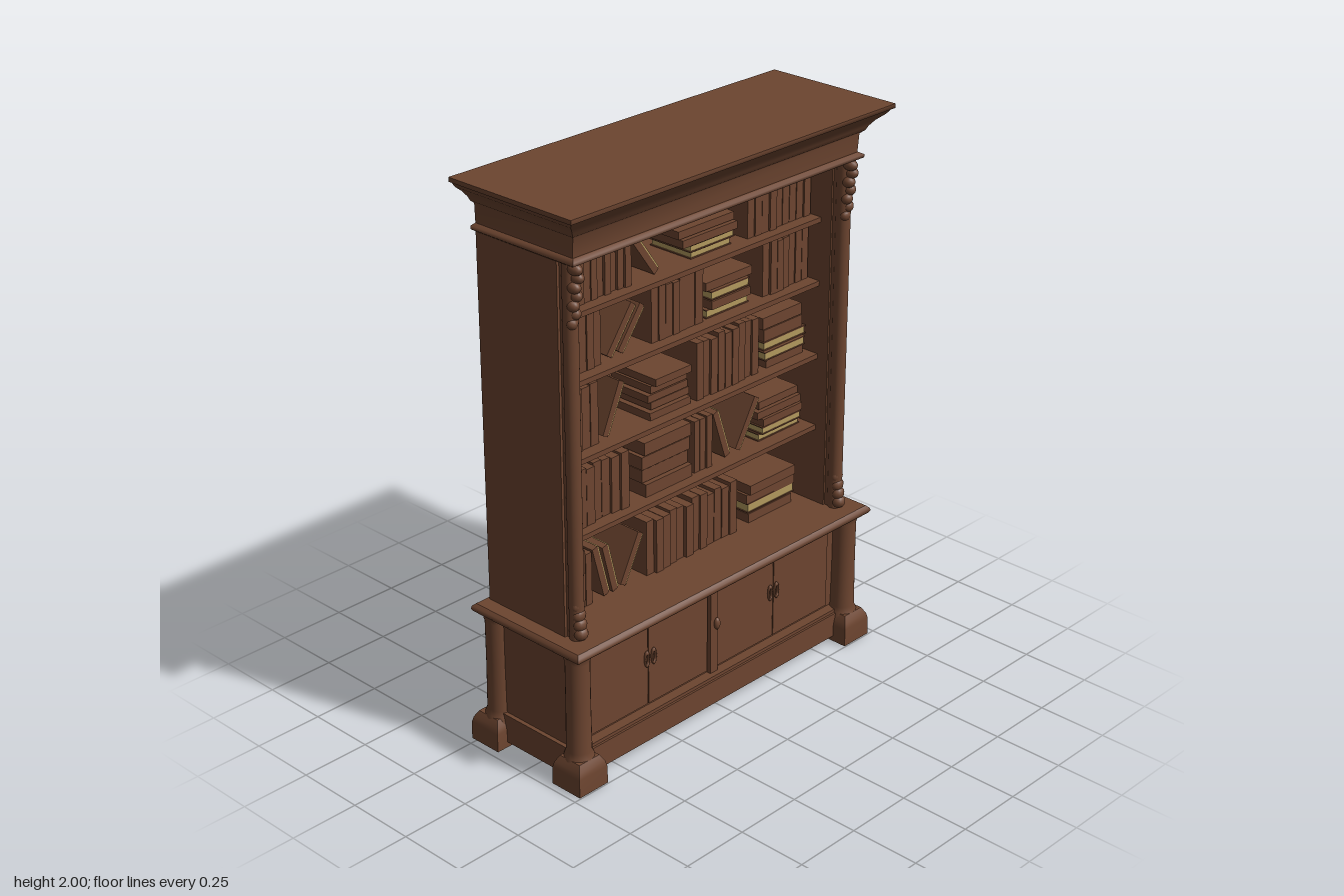
import * as THREE from 'three';
import { mergeGeometries } from 'three/addons/utils/BufferGeometryUtils.js';

const wood = new THREE.MeshStandardMaterial({ color: 0x6d4530 });
wood.name = 'brown wood';
const pages = new THREE.MeshStandardMaterial({ color: 0xb39a5e });
pages.name = 'old paper';

function add(parent, name, geometry, material = wood) {
  const mesh = new THREE.Mesh(geometry, material);
  mesh.name = name;
  parent.add(mesh);
  return mesh;
}

// Box given by its limits on each axis
function box(parent, name, x0, x1, y0, y1, z0, z1, material = wood) {
  const g = new THREE.BoxGeometry(x1 - x0, y1 - y0, z1 - z0);
  g.translate((x0 + x1) / 2, (y0 + y1) / 2, (z0 + z1) / 2);
  return add(parent, name, g, material);
}

// Rectangular moulding: rows of [y, halfWidth, zBack, zFront], mitred corners, capped ends
function moulding(rows) {
  const corners = ([y, w, b, f]) => [[-w, y, f], [w, y, f], [w, y, b], [-w, y, b]];
  const rings = rows.map(corners);
  const strip = (points, index) => {
    const g = new THREE.BufferGeometry();
    g.setAttribute('position', new THREE.Float32BufferAttribute(points.flat(), 3));
    g.setIndex(index);
    g.computeVertexNormals();
    return g;
  };
  const parts = [];
  for (let s = 0; s < 4; s++) {
    const points = [], index = [];
    rings.forEach((ring, i) => {
      points.push(ring[s], ring[(s + 1) % 4]);
      const a = i * 2;
      if (i < rings.length - 1) index.push(a, a + 1, a + 3, a, a + 3, a + 2);
    });
    parts.push(strip(points, index));
  }
  parts.push(strip(rings[rings.length - 1], [0, 1, 2, 0, 2, 3]));
  parts.push(strip(rings[0], [0, 2, 1, 0, 3, 2]));
  return mergeGeometries(parts);
}

let seed = 7;
const rand = () => (seed = (seed * 16807) % 2147483647) / 2147483647;

// Upright books filling a span
function uprights(g, y, x0, x1, n, h) {
  const w = (x1 - x0) / n;
  for (let i = 0; i < n; i++) {
    const x = x0 + i * w, top = y + h * (0.9 + 0.1 * rand());
    box(g, 'uprightBook', x + 0.001, x + w - 0.002, y, top, -0.17, 0.025 + 0.015 * rand());
  }
}

// Lying books; pattern letters from the bottom up: b = spine forward, p = pages forward
function stack(g, y, x0, x1, h, pattern) {
  const t = h / pattern.length;
  [...pattern].forEach((kind, i) => {
    const a = x0 + 0.025 * rand(), b = x1 - 0.025 * rand(), y0 = y + i * t, front = 0.02 + 0.02 * rand();
    if (kind === 'b') {
      box(g, 'lyingBook', a, b, y0, y0 + t - 0.003, -0.16, front);
    } else {
      box(g, 'bottomCover', a, b, y0, y0 + 0.004, -0.16, front);
      box(g, 'pageBlock', a + 0.004, b - 0.004, y0 + 0.004, y0 + t - 0.006, -0.155, front - 0.003, pages);
      box(g, 'topCover', a, b, y0 + t - 0.006, y0 + t - 0.002, -0.16, front);
    }
  });
}

// Leaning book with its pages on the +x face; xb and xt are the foot and head positions
function leaning(g, y, xb, xt, h) {
  const book = new THREE.Group();
  book.name = 'leaningBook';
  const len = Math.hypot(xt - xb, h);
  box(book, 'cover', -0.016, 0.008, 0, len, -0.17, 0.03);
  box(book, 'openPages', 0.008, 0.014, 0.004, len - 0.004, -0.165, 0.028, pages);
  book.position.set(xb, y + 0.012, 0);
  book.rotation.z = Math.atan2(xb - xt, h);
  g.add(book);
}

export function createModel() {
  const model = new THREE.Group();
  model.name = 'bookcase';

  // Crown and its lower bead
  add(model, 'crown', moulding([
    [1.83, 0.65, -0.24, 0.185], [1.9, 0.652, -0.24, 0.19], [1.91, 0.665, -0.243, 0.203],
    [1.925, 0.673, -0.246, 0.21], [1.945, 0.69, -0.25, 0.225], [1.965, 0.715, -0.254, 0.248],
    [1.98, 0.725, -0.256, 0.26], [1.985, 0.735, -0.258, 0.27], [2, 0.735, -0.258, 0.27]]));
  add(model, 'crownBead', moulding([
    [1.81, 0.655, -0.24, 0.19], [1.817, 0.665, -0.246, 0.203],
    [1.828, 0.665, -0.246, 0.203], [1.835, 0.652, -0.24, 0.19]]));

  // Upper case
  box(model, 'backPanel', -0.61, 0.61, 0.52, 1.815, -0.235, -0.215);
  for (const y of [0.82, 1.09, 1.36, 1.59]) box(model, 'shelf', -0.61, 0.61, y - 0.018, y, -0.215, 0.075);
  // Book ends that show through the back
  for (const [x, y] of [[0.05, 1.36], [-0.27, 1.1]]) box(model, 'bookThroughBack', x - 0.02, x + 0.02, y, y + 0.21, -0.241, -0.2);

  // Base: floor, panels, plinth and top
  box(model, 'baseFloor', -0.65, 0.65, 0.1, 0.12, -0.21, 0.14);
  box(model, 'baseBack', -0.66, 0.66, 0.02, 0.49, -0.225, -0.205);
  box(model, 'doorBacking', -0.65, 0.65, 0.11, 0.49, 0.13, 0.145);
  box(model, 'plinthFront', -0.64, 0.64, 0.02, 0.11, 0.14, 0.19);
  box(model, 'plinthCap', -0.62, 0.62, 0.11, 0.122, 0.14, 0.182);
  box(model, 'topRail', -0.62, 0.62, 0.482, 0.495, 0.14, 0.172);
  box(model, 'centreStile', -0.018, 0.018, 0.122, 0.485, 0.14, 0.162);
  add(model, 'baseTop', moulding([
    [0.485, 0.695, -0.24, 0.22], [0.493, 0.712, -0.253, 0.238], [0.503, 0.718, -0.258, 0.244],
    [0.513, 0.715, -0.256, 0.241], [0.522, 0.705, -0.246, 0.231]]));

  // Doors and their oval pulls
  for (const s of [-1, 1]) {
    for (const c of [0.166, 0.454]) {
      box(model, 'door', s * c - 0.142, s * c + 0.142, 0.132, 0.48, 0.14, 0.152);
    }
    for (const dx of [-0.016, 0.016]) {
      const pull = add(model, 'doorPull', new THREE.TorusGeometry(0.01, 0.0035, 8, 20));
      pull.scale.set(0.85, 2.4, 1.6);
      pull.position.set(s * 0.305 + dx, 0.31, 0.157);
    }
  }
  const knob = add(model, 'centreKnob', new THREE.SphereGeometry(0.014, 16, 10));
  knob.scale.set(0.9, 1.6, 0.8);
  knob.position.set(0.01, 0.31, 0.165);

  // Base post turned profile, shared by the four corners
  const post = new THREE.LatheGeometry([
    [0.055, 0.09], [0.05, 0.112], [0.043, 0.13], [0.041, 0.3], [0.041, 0.46], [0.045, 0.475], [0.047, 0.49],
  ].map(([r, y]) => new THREE.Vector2(r, y)), 24);
  const foot = moulding([
    [0, 0.064, -0.064, 0.064], [0.065, 0.063, -0.063, 0.063], [0.085, 0.058, -0.058, 0.058], [0.108, 0.045, -0.045, 0.045]]);

  for (const s of [-1, 1]) {
    const side = (name, x0, x1, ...r) => box(model, name, Math.min(s * x0, s * x1), Math.max(s * x0, s * x1), ...r);
    side('caseSide', 0.605, 0.655, 0.52, 1.815, -0.235, 0.12);
    side('pilasterBacking', 0.612, 0.645, 0.52, 1.815, 0.12, 0.15);
    side('baseSide', 0.64, 0.665, 0.12, 0.49, -0.205, 0.165);
    side('sidePlinth', 0.64, 0.68, 0.02, 0.125, -0.2, 0.17);

    for (const z of [0.182, -0.2]) {
      add(model, 'cornerPost', post).position.set(s * 0.657, 0, z - (z > 0 ? 0.005 : 0));
      add(model, 'cornerFoot', foot).position.set(s * 0.66, 0, z < 0 ? z - 0.008 : z);
    }

    // Slim front column with carved head and base
    const column = new THREE.Group();
    column.name = 'frontColumn';
    column.position.set(s * 0.63, 0, 0.15);
    model.add(column);
    add(column, 'shaft', new THREE.CylinderGeometry(0.025, 0.025, 1.29, 20)).position.y = 1.165;
    for (let i = 0; i < 7; i++) {
      const leaf = add(column, 'carvedLeaf', new THREE.SphereGeometry(0.022, 12, 8));
      leaf.scale.set(0.95, 0.9, 0.75 + 0.09 * i);
      leaf.position.set((i % 2 ? 1 : -1) * 0.005, 1.615 + 0.03 * i, 0.013 + 0.0025 * i);
      leaf.rotation.z = s * 0.5;
    }
    for (let i = 0; i < 4; i++) {
      const leaf = add(column, 'carvedBase', new THREE.SphereGeometry(0.024, 12, 8));
      leaf.scale.set(1.05, 1, 1 - 0.12 * i);
      leaf.position.set(0, 0.545 + 0.032 * i, 0.018 - 0.003 * i);
    }
  }

  // Books, shelf by shelf from the top
  const books = new THREE.Group();
  books.name = 'books';
  model.add(books);
  const shelves = [
    { y: 1.59, up: [[-0.585, -0.46, 4, 0.2], [-0.46, -0.255, 7, 0.19], [0.285, 0.6, 9, 0.2]],
      lean: [[-0.135, -0.235, 0.14]], stacks: [[0.01, 0.24, 0.055, 'pp'], [-0.035, 0.235, 0.06, 'bb', 0.055]] },
    { y: 1.36, up: [[-0.585, -0.385, 6, 0.2], [-0.165, 0, 5, 0.19], [0, 0.08, 2, 0.2], [0.365, 0.6, 7, 0.2]],
      lean: [[-0.35, -0.24, 0.15], [-0.3, -0.2, 0.135]], stacks: [[0.09, 0.32, 0.13, 'pbpb']] },
    { y: 1.09, up: [[-0.585, -0.4, 5, 0.22], [0.04, 0.35, 9, 0.22]],
      lean: [[-0.37, -0.295, 0.17]], stacks: [[-0.175, 0.035, 0.145, 'bbbbb'], [0.37, 0.6, 0.1, 'bpp'], [0.36, 0.59, 0.09, 'bb', 0.1]] },
    { y: 0.82, up: [[-0.585, -0.275, 8, 0.21], [0.04, 0.125, 3, 0.2]],
      lean: [[0.205, 0.145, 0.18], [0.255, 0.35, 0.165]], stacks: [[-0.21, 0.035, 0.195, 'bbbb'], [0.35, 0.59, 0.15, 'ppbbb']] },
    { y: 0.52, up: [[-0.59, -0.44, 5, 0.21], [-0.19, 0.25, 12, 0.21]],
      lean: [[-0.375, -0.425, 0.19], [-0.335, -0.38, 0.18], [-0.3, -0.215, 0.165]], stacks: [[0.31, 0.57, 0.155, 'bpbb']] },
  ];
  for (const { y, up, lean, stacks } of shelves) {
    up.forEach((u) => uprights(books, y, ...u));
    lean.forEach((l) => leaning(books, y, ...l));
    stacks.forEach(([x0, x1, h, kinds, lift = 0]) => stack(books, y + lift, x0, x1, h, kinds));
  }
  return model;
}
